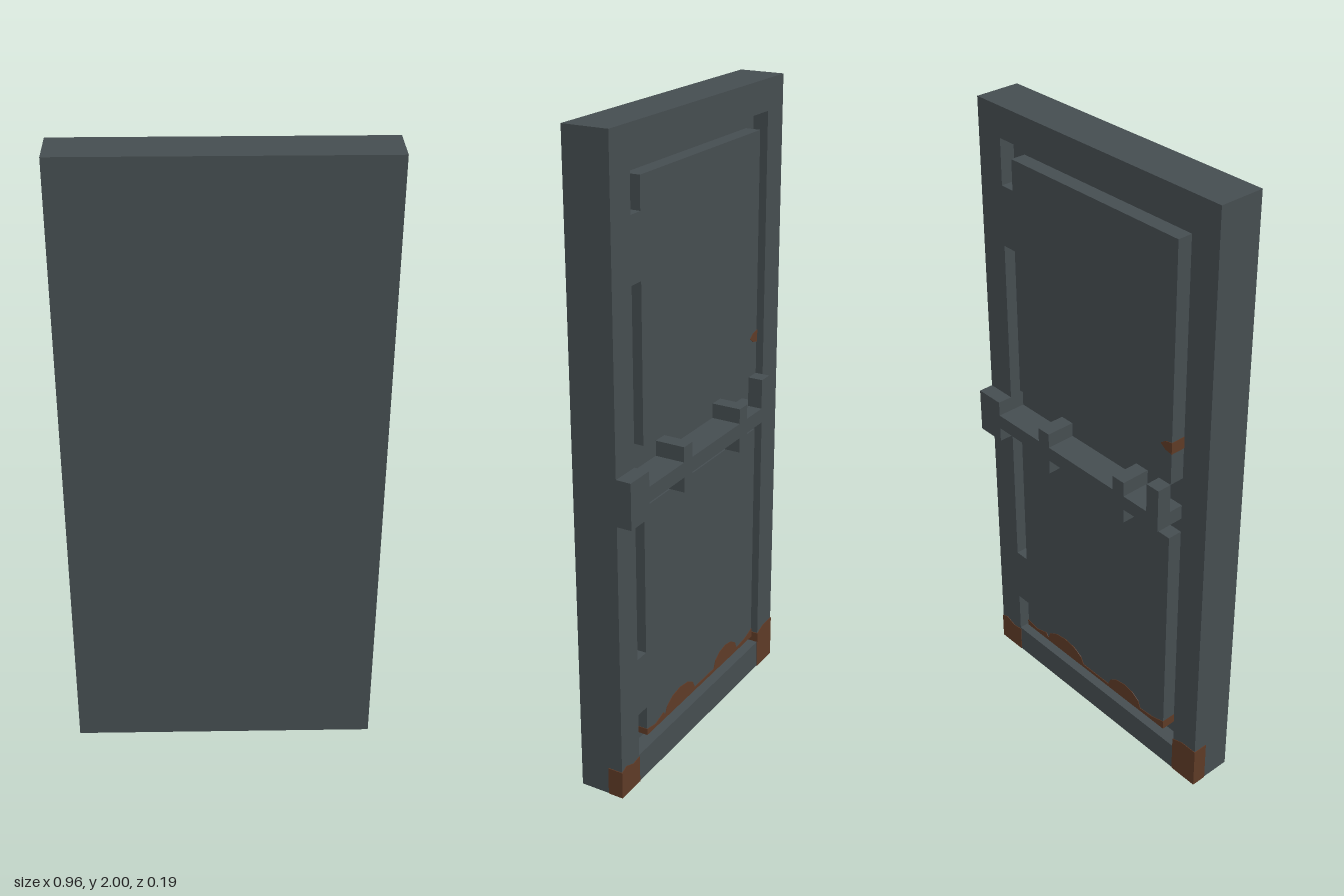
import * as THREE from 'three';

const U = 1 / 21; // grid unit: the door is 20 x 42 x 3 units

export function createModel() {
  const door = new THREE.Group();
  door.name = 'door';

  const steel = new THREE.MeshStandardMaterial({ color: 0x454d50 });
  steel.name = 'dark steel';
  const rust = new THREE.MeshStandardMaterial({ color: 0x5e3a26 });
  rust.name = 'rust brown';

  // Box given by its limits in grid units
  function box(name, x0, x1, y0, y1, z0, z1, material = steel) {
    const geometry = new THREE.BoxGeometry((x1 - x0) * U, (y1 - y0) * U, (z1 - z0) * U);
    const mesh = new THREE.Mesh(geometry, material);
    mesh.position.set((x0 + x1) / 2 * U, (y0 + y1) / 2 * U, (z0 + z1) / 2 * U);
    mesh.name = name;
    door.add(mesh);
  }

  // Rust patch: an outline in grid units, extruded between two depths
  function patch(name, points, z0, z1) {
    const shape = new THREE.Shape(points.map(([x, y]) => new THREE.Vector2(x * U, y * U)));
    const geometry = new THREE.ExtrudeGeometry(shape, { depth: (z1 - z0) * U, bevelEnabled: false });
    const mesh = new THREE.Mesh(geometry, rust);
    mesh.position.z = z0 * U;
    mesh.name = name;
    door.add(mesh);
  }

  // Slab and the raised border on its back
  box('slab', -10, 10, 0, 42, 0, 2);
  box('rightStile', -10, -8, 0, 42, -1, 0);
  box('leftStile', 8, 10, 0, 42, -1, 0);
  box('bottomRail', -8, 8, 0, 2, -1, 0);
  box('topRail', -8, 8, 40, 42, -1, 0);

  // Two raised panels, each joined to the stile by a hinge block
  box('lowerPanel', -7, 7, 3, 19, -1, 0);
  box('upperPanel', -7, 7, 23, 39, -1, 0);
  box('lowerHinge', 7, 8, 5, 9, -1, 0);
  box('upperHinge', 7, 8, 33, 37, -1, 0);

  // Sliding bolt with its handle, brackets and keeper
  box('bolt', -7, 8, 20, 21, -2, 0);
  box('boltHandle', -7, -6, 20, 23, -2, -1);
  for (const x of [-4, 3]) box('boltBracket', x, x + 1, 19, 22, -2, 0);
  box('boltKeeper', 8, 10, 19, 22, -2, -1);

  // Rust along the foot of the lower panel, with two humps
  const e = 0.04;
  const outline = [[-7 - e, 3 - e], [7 + e, 3 - e], [7 + e, 3.4], [6, 3.2], [5, 3.5]];
  for (const [cx, r] of [[2.9, 1.9], [-3.2, 1.6]]) {
    for (let i = 0; i <= 6; i++) {
      const a = Math.PI * i / 6;
      outline.push([cx + r * Math.cos(a), 3.2 + 1.05 * Math.sin(a)]);
    }
  }
  outline.push([-6, 3.3], [-7 - e, 3.6]);
  patch('panelRust', outline, -1 - e, 0);

  // Rust on the lower corners and a spot on the upper panel edge
  patch('leftCornerRust', [[8 - e, 0], [10 + e, 0], [10 + e, 1.9], [9.5, 2.1], [8.7, 1.8], [8 - e, 1.9]], -1 - e, 0);
  patch('rightCornerRust', [[-10 - e, 0], [-8 + e, 0], [-8 + e, 2.7], [-8.8, 3], [-10 - e, 3]], -1 - e, 0);
  patch('edgeRust', [[-7 - e, 25.2], [-6.5, 25.3], [-6.1, 25.6], [-6.5, 25.9], [-7 - e, 26]], -1 - e, 0);

  return door;
}
